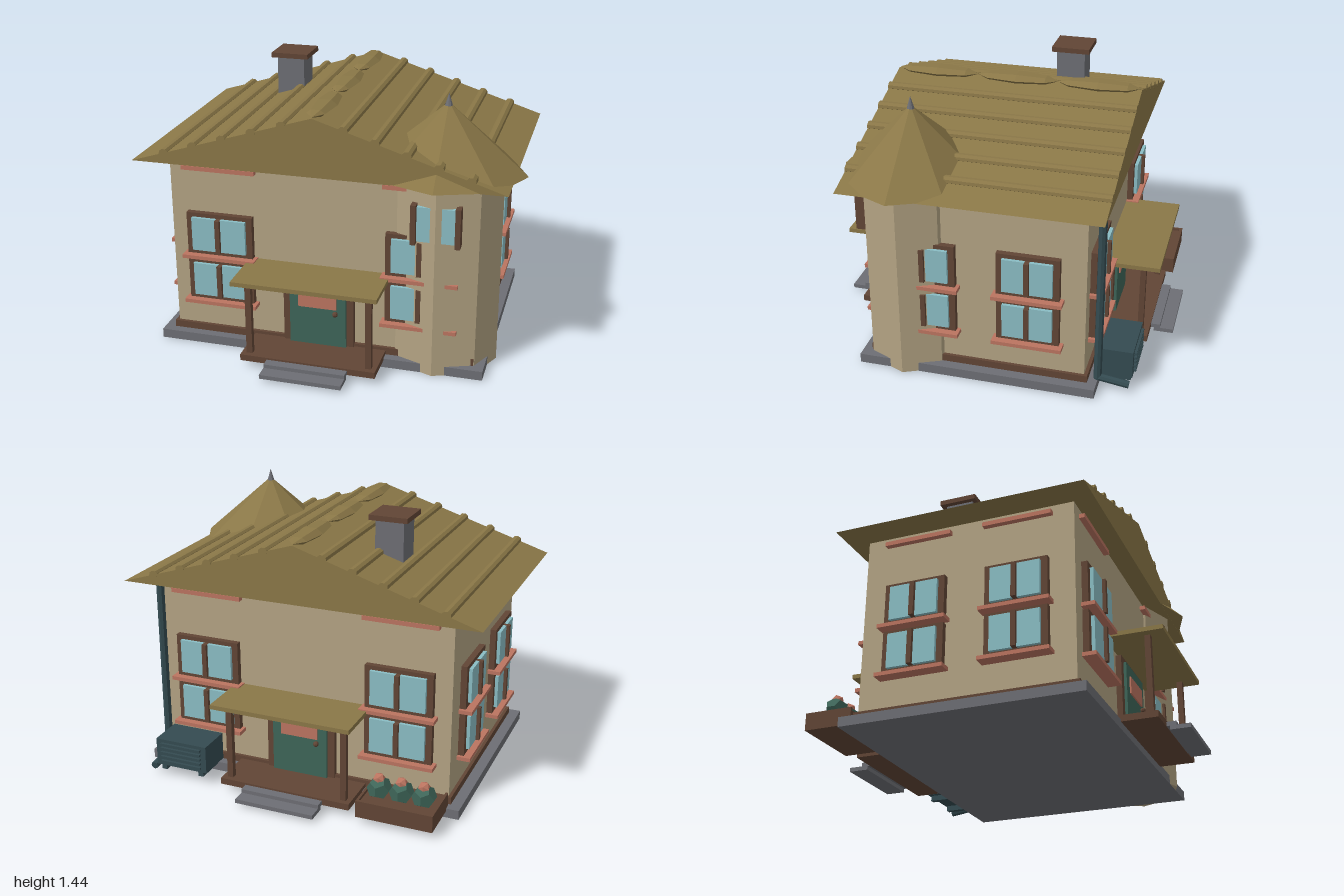
import * as THREE from 'three';

const mat = (name, color) => {
  const m = new THREE.MeshStandardMaterial({ color, flatShading: true });
  m.name = name;
  return m;
};

export function createModel() {
  const wall = mat('wall plaster', 0xb3a383);
  const thatch = mat('roof ochre', 0x8a7747);
  const wood = mat('dark wood', 0x614535);
  const glass = mat('window glass', 0x8abdc4);
  const coral = mat('coral trim', 0xbb7460);
  const stone = mat('grey stone', 0x6d6e74);
  const green = mat('door green', 0x3e6558);
  const slate = mat('slate metal', 0x344b51);

  const model = new THREE.Group();
  model.name = 'house';
  const CX = -0.03; // centre line of the house

  const add = (parent, name, geo, material, x = 0, y = 0, z = 0) => {
    const m = new THREE.Mesh(geo, material);
    m.name = name;
    m.position.set(x, y, z);
    parent.add(m);
    return m;
  };
  // box given by its limits on each axis
  const box = (parent, name, material, x0, x1, y0, y1, z0, z1) =>
    add(parent, name, new THREE.BoxGeometry(x1 - x0, y1 - y0, z1 - z0), material,
      (x0 + x1) / 2, (y0 + y1) / 2, (z0 + z1) / 2);
  const group = (parent, name) => {
    const g = new THREE.Group();
    g.name = name;
    parent.add(g);
    return g;
  };

  // body
  box(model, 'foundation', stone, -0.908, 0.848, 0, 0.05, -0.628, 0.628);
  box(model, 'walls', wall, -0.835, 0.775, 0.05, 1.04, -0.562, 0.562);
  box(model, 'baseTrim', wood, -0.852, 0.792, 0.05, 0.088, -0.58, 0.58);

  // main roof: solid gable
  const gable = new THREE.Shape([
    new THREE.Vector2(-0.968, 0), new THREE.Vector2(0.968, 0), new THREE.Vector2(0, 0.305)]);
  add(model, 'roof', new THREE.ExtrudeGeometry(gable, { depth: 1.336, bevelEnabled: false }),
    thatch, CX, 1.035, -0.668);

  // battens along the slopes
  const battenGeo = new THREE.CylinderGeometry(0.025, 0.025, 1.34, 8).rotateX(Math.PI / 2).scale(1, 0.8, 1);
  for (const side of [-1, 1]) {
    for (let i = 1; i <= 5; i++) {
      const d = i * 0.158;
      const b = add(model, 'roofBatten', battenGeo, thatch, CX + side * d, 1.342 - d * 0.315, 0);
      b.rotation.z = -side * 0.305;
    }
  }
  // faceted ridge caps
  const capGeo = new THREE.SphereGeometry(1, 6, 4).rotateX(Math.PI / 2).scale(0.068, 0.03, 0.222);
  for (const z of [-0.44, 0, 0.44]) add(model, 'ridgeCap', capGeo, thatch, CX, 1.345, z);

  // chimney
  box(model, 'chimney', stone, -0.475, -0.323, 1.1, 1.41, -0.302, -0.146);
  box(model, 'chimneyCap', wood, -0.502, -0.296, 1.41, 1.437, -0.33, -0.122);

  // octagonal corner tower
  const tower = group(model, 'tower');
  tower.position.set(0.588, 0, 0.382);
  add(tower, 'towerWall', new THREE.CylinderGeometry(1, 1, 1.038, 8).scale(0.295, 1, 0.27), wall, 0, 0.52, 0);
  add(tower, 'towerRoof', new THREE.ConeGeometry(1, 0.355, 8).scale(0.41, 1, 0.364), thatch, 0, 1.2135, 0);
  add(tower, 'finial', new THREE.ConeGeometry(0.02, 0.065, 8), stone, 0, 1.405, 0);
  box(tower, 'towerGlass', glass, -0.097, 0.097, 0.742, 0.925, 0.2, 0.259);
  for (const s of [-1, 1]) {
    const x = s * 0.112;
    box(tower, 'towerWindowPost', wood, x - 0.0135, x + 0.0135, 0.727, 0.937, 0.21, 0.277);
  }

  // window with sill, facing +z, standing on the wall plane z = 0
  const windowUnit = (parent, x, w, y) => {
    const g = group(parent, 'window');
    g.position.set(x, y, 0);
    const h = w / 2;
    box(g, 'windowFrame', wood, -h, h, 0.018, 0.25, -0.01, 0.032);
    for (const s of [-1, 1]) {
      const a = s * 0.012, b = s * (h - 0.033);
      box(g, 'windowPane', glass, Math.min(a, b), Math.max(a, b), 0.045, 0.228, 0.02, 0.05);
    }
    box(g, 'mullion', wood, -0.0125, 0.0125, 0.045, 0.228, 0.02, 0.068);
    box(g, 'sill', coral, -h - 0.019, h + 0.019, 0, 0.02, -0.01, 0.07);
  };

  // porch with door, facing +z from the wall plane
  const porch = (parent) => {
    const g = group(parent, 'porch');
    box(g, 'porchFloor', wood, -0.36, 0.36, 0.038, 0.072, -0.01, 0.253);
    box(g, 'porchRoof', thatch, -0.38, 0.38, 0.487, 0.51, -0.01, 0.303);
    for (const s of [-1, 1]) {
      const x = s * 0.318;
      box(g, 'porchPost', wood, x - 0.016, x + 0.016, 0.07, 0.49, 0.195, 0.225);
    }
    box(g, 'upperStep', stone, -0.215, 0.215, 0.04, 0.062, 0.2, 0.303);
    box(g, 'lowerStep', stone, -0.215, 0.215, 0.02, 0.042, 0.27, 0.375);
    box(g, 'doorFrame', wood, -0.19, 0.19, 0.07, 0.47, -0.01, 0.03);
    box(g, 'door', green, -0.152, 0.152, 0.072, 0.443, 0, 0.045);
    box(g, 'doorPanel', coral, -0.103, 0.103, 0.288, 0.38, 0.045, 0.053);
    add(g, 'doorHandle', new THREE.SphereGeometry(0.015, 8, 6), wood, 0.097, 0.265, 0.055);
  };

  // four facades: turn, wall position, window offset and width
  const facades = [
    ['frontFacade', 0, CX, 0.562, 0.535, 0.36],
    ['backFacade', Math.PI, CX, -0.562, 0.535, 0.36],
    ['leftFacade', Math.PI / 2, 0.775, 0, 0.27, 0.325],
    ['rightFacade', -Math.PI / 2, -0.835, 0, 0.27, 0.325],
  ];
  facades.forEach(([name, turn, x, z, off, w], i) => {
    const f = group(model, name);
    f.position.set(x, 0, z);
    f.rotation.y = turn;
    for (const s of [-1, 1]) {
      for (const y of [0.236, 0.496]) windowUnit(f, s * off, w, y);
      const c = s * off, h = w / 2 + 0.019;
      box(f, 'eaveTrim', coral, c - h, c + h, 0.98, 1.003, -0.01, 0.03);
    }
    if (i < 2) porch(f);
  });

  // planter with three flowering bushes behind the house
  const planter = group(model, 'planter');
  box(planter, 'planterBox', wood, -0.83, -0.45, 0.035, 0.11, -0.84, -0.6);
  box(planter, 'planterRim', wood, -0.842, -0.44, 0.035, 0.125, -0.852, -0.835);
  for (const x of [-0.842, -0.453]) box(planter, 'planterRim', wood, x, x + 0.013, 0.035, 0.125, -0.852, -0.6);
  for (const x of [-0.758, -0.64, -0.522]) {
    add(planter, 'bush', new THREE.DodecahedronGeometry(0.064), green, x, 0.155, -0.73);
    add(planter, 'flower', new THREE.IcosahedronGeometry(0.034), coral, x, 0.203, -0.73);
  }

  // outdoor cooling unit with slats
  const unit = group(model, 'coolingUnit');
  box(unit, 'unitCase', slate, 0.425, 0.72, 0.07, 0.22, -0.8, -0.61);
  for (let i = 0; i < 5; i++) {
    const y = 0.09 + i * 0.025;
    box(unit, 'unitSlat', slate, 0.455, 0.69, y, y + 0.012, -0.814, -0.8);
  }
  for (const x of [0.45, 0.67]) box(unit, 'unitFoot', slate, x, x + 0.03, 0.04, 0.072, -0.79, -0.61);

  // downpipe with outlet along the ground
  const pipe = group(model, 'downpipe');
  add(pipe, 'downpipeShaft', new THREE.CylinderGeometry(0.021, 0.021, 0.98, 8), slate, 0.748, 0.55, -0.627);
  const outlet = add(pipe, 'downpipeOutlet', new THREE.CylinderGeometry(0.02, 0.02, 0.17, 8), slate, 0.748, 0.058, -0.705);
  outlet.rotation.x = Math.PI / 2 - 0.14;

  return model;
}
